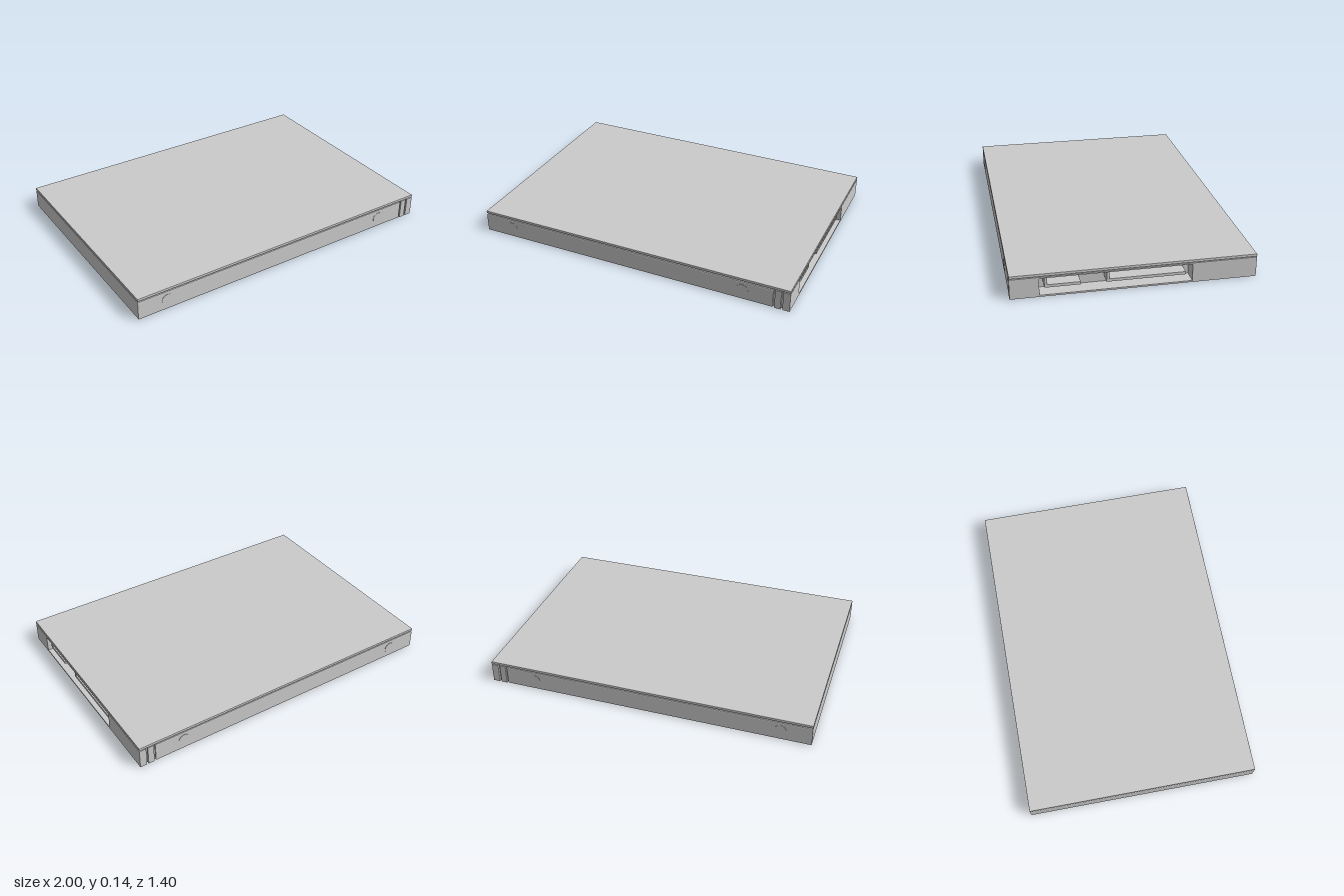
import * as THREE from 'three';

const grey = new THREE.MeshStandardMaterial({ color: 0xcccccc });

export function createModel() {
  const model = new THREE.Group();

  function add(name, geometry, x = 0, y = 0, z = 0) {
    const mesh = new THREE.Mesh(geometry, grey);
    mesh.name = name;
    mesh.position.set(x, y, z);
    model.add(mesh);
    return mesh;
  }

  function rectangle(Type, x0, x1, y0, y1) {
    return new Type([[x0, y0], [x1, y0], [x1, y1], [x0, y1]].map(p => new THREE.Vector2(...p)));
  }

  // Flat plate with a fine bevel all round, lying between y0 and y1
  function plate(name, x0, x1, halfZ, y0, y1, bevel) {
    const geometry = new THREE.ExtrudeGeometry(rectangle(THREE.Shape, x0, x1, -halfZ, halfZ), {
      depth: y1 - y0 - 2 * bevel, bevelSize: bevel, bevelThickness: bevel,
      bevelOffset: -bevel, bevelSegments: 2,
    });
    geometry.translate(0, 0, bevel).rotateX(-Math.PI / 2);
    return add(name, geometry, 0, y0, 0);
  }

  // Section in (-z, y), extruded towards +x
  function section(name, shape, x0, x1) {
    const geometry = new THREE.ExtrudeGeometry(shape, { depth: x1 - x0, bevelEnabled: false });
    geometry.rotateY(Math.PI / 2);
    return add(name, geometry, x0, 0, 0);
  }

  // Case: tray, lid and the inset core seen in the seams between them
  plate('tray', -1, 0.9, 0.698, 0, 0.118, 0.006);
  plate('lid', -1, 1, 0.698, 0.124, 0.14, 0.002);
  add('innerCore', new THREE.BoxGeometry(1.9, 0.12, 1.376), -0.04, 0.064, 0);

  // Connector end: two frames and a narrower frame between, around one pocket
  function pocketFrame(name, x0, x1, halfZ, y0, y1) {
    const shape = rectangle(THREE.Shape, -halfZ, halfZ, y0, y1);
    shape.holes.push(rectangle(THREE.Path, -0.535, 0.325, 0.01, 0.112));
    section(name, shape, x0, x1);
  }
  pocketFrame('endFrameInner', 0.91, 0.947, 0.698, 0, 0.12);
  pocketFrame('endFrameOuter', 0.958, 1, 0.698, 0, 0.12);
  pocketFrame('endFrameSeam', 0.905, 0.99, 0.685, 0.003, 0.125);

  // L-shaped connector tongues
  for (const [name, start, end] of [['dataTongue', 0.505, 0.305], ['powerTongue', 0.16, -0.29]]) {
    const outline = [
      [-start, 0.045], [-end, 0.045], [-end, 0.062],
      [-start + 0.016, 0.062], [-start + 0.016, 0.112], [-start, 0.112],
    ].map(p => new THREE.Vector2(...p));
    section(name, new THREE.Shape(outline), 0.9, 0.985);
  }

  // Mounting points on both long sides and underneath
  for (const x of [-0.815, 0.715]) {
    for (const side of [-1, 1]) {
      const sidePoint = new THREE.CylinderGeometry(0.036, 0.036, 0.004, 32).rotateX(Math.PI / 2);
      add('sideMount', sidePoint, x, 0.064, side * 0.698);
      add('bottomMount', new THREE.CylinderGeometry(0.03, 0.03, 0.004, 32), x, 0.0015, side * 0.617);
    }
  }

  return model;
}
